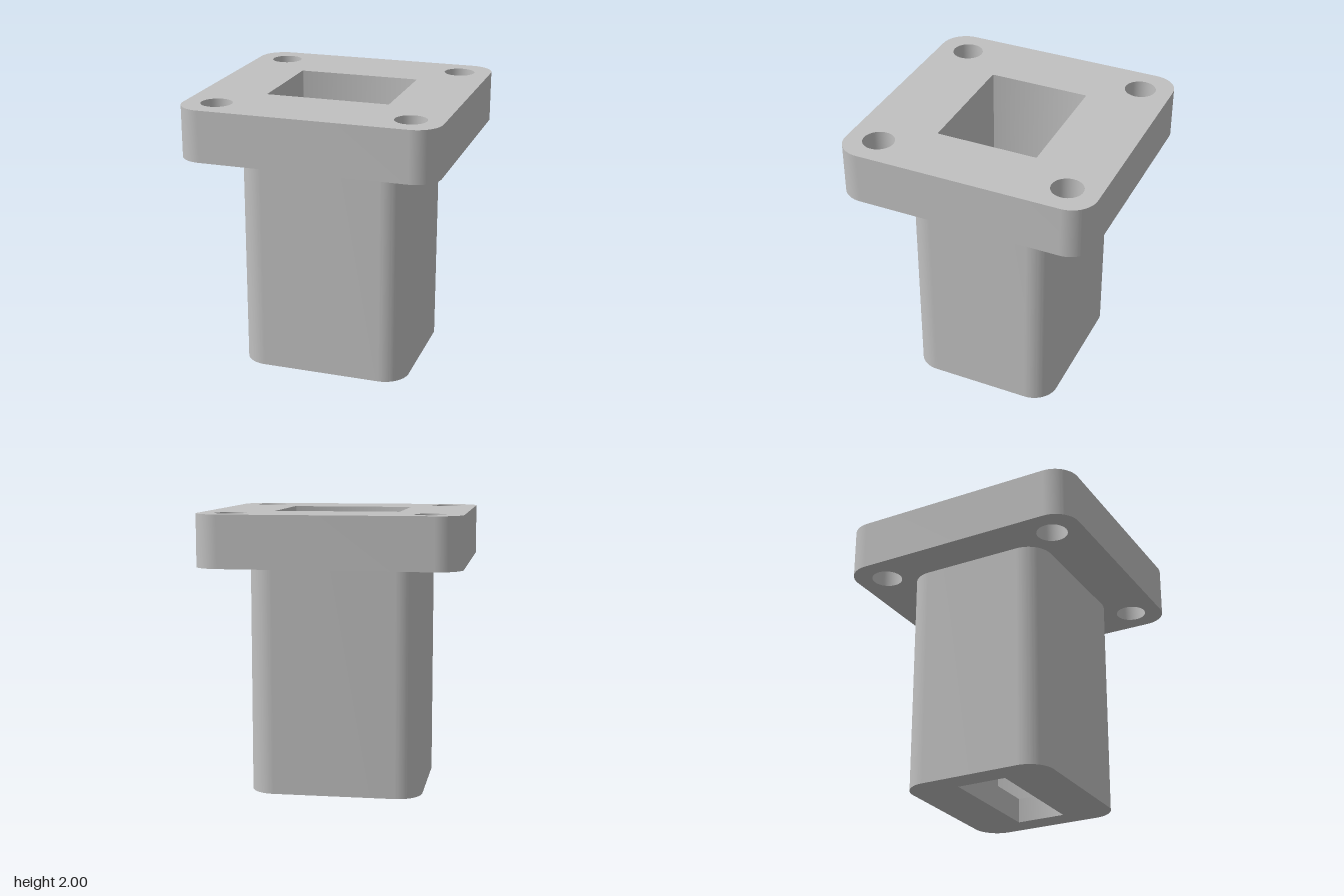
import * as THREE from 'three';
import { toCreasedNormals } from 'three/addons/utils/BufferGeometryUtils.js';

const U = 2 / 11; // base module of the part

// Rectangle with rounded corners, given half sizes and radius
function roundedRect(hx, hz, r) {
  const s = new THREE.Shape();
  s.absarc(hx - r, hz - r, r, 0, Math.PI / 2);
  s.absarc(-hx + r, hz - r, r, Math.PI / 2, Math.PI);
  s.absarc(-hx + r, -hz + r, r, Math.PI, Math.PI * 1.5);
  s.absarc(hx - r, -hz + r, r, Math.PI * 1.5, Math.PI * 2);
  s.closePath();
  return s;
}

function circle(x, z, r) {
  return new THREE.Shape().absarc(x, z, r, 0, Math.PI * 2);
}

function withHoles(shape, ...holes) {
  const s = shape.clone();
  s.holes = holes;
  return s;
}

// Vertical wall along an outline, without caps; inward walls line a bore
function wall(shape, y0, y1, inward = false) {
  const e = new THREE.ExtrudeGeometry(shape, { depth: y1 - y0, bevelEnabled: false, curveSegments: 16 });
  const { start, count } = e.groups[1];
  const g = new THREE.BufferGeometry();
  g.setAttribute('position', new THREE.BufferAttribute(
    e.attributes.position.array.slice(start * 3, (start + count) * 3), 3));
  g.rotateX(-Math.PI / 2).translate(0, y0, 0);
  if (inward) g.scale(-1, 1, 1); // mirroring turns the faces inside
  g.computeVertexNormals();
  return toCreasedNormals(g, 0.6);
}

// Horizontal face facing up or down
function face(shape, y, up) {
  return new THREE.ShapeGeometry(shape, 16)
    .rotateX(up ? -Math.PI / 2 : Math.PI / 2)
    .translate(0, y, 0);
}

export function createModel() {
  const root = new THREE.Group();
  const metal = new THREE.MeshStandardMaterial({ color: 0xc0c0c0 });
  metal.name = 'grey metal';

  function part(name, ...geometries) {
    const group = new THREE.Group();
    group.name = name;
    for (const g of geometries) {
      const mesh = new THREE.Mesh(g, metal);
      mesh.name = name + 'Surface';
      group.add(mesh);
    }
    root.add(group);
    return group;
  }

  const flangeY = 9 * U, topY = 2, stepY = U;
  const flange = roundedRect(5 * U, 5 * U, U);
  const body = roundedRect(0.615, 3 * U, U);
  const bore = roundedRect(0.44, 2 * U, 0.008);
  const slot = roundedRect(0.44, U, 0.001);

  // Bolt holes in the four corners
  const pitch = 3.75 * U, holeR = 0.11;
  const corners = [[1, 1], [-1, 1], [-1, -1], [1, -1]];
  const holes = corners.map(([sx, sz]) => circle(sx * pitch, sz * pitch, holeR));

  part('flange',
    wall(flange, flangeY, topY),
    face(withHoles(flange, bore, ...holes), topY, true),
    face(withHoles(flange, body, ...holes), flangeY, false));

  for (const [sx, sz] of corners) {
    part('boltHole', wall(circle(0, 0, holeR), flangeY, topY, true))
      .position.set(sx * pitch, 0, sz * pitch);
  }

  part('body',
    wall(body, 0, flangeY),
    face(withHoles(body, slot), 0, false));

  // Wide bore stepping down to a narrow slot
  part('bore', wall(bore, stepY, topY, true));
  for (const s of [1, -1]) {
    const ledge = new THREE.PlaneGeometry(0.88, U).rotateX(-Math.PI / 2);
    part('boreLedge', ledge.translate(0, stepY, s * 1.5 * U));
  }
  part('slot', wall(slot, 0, stepY, true));

  return root;
}
